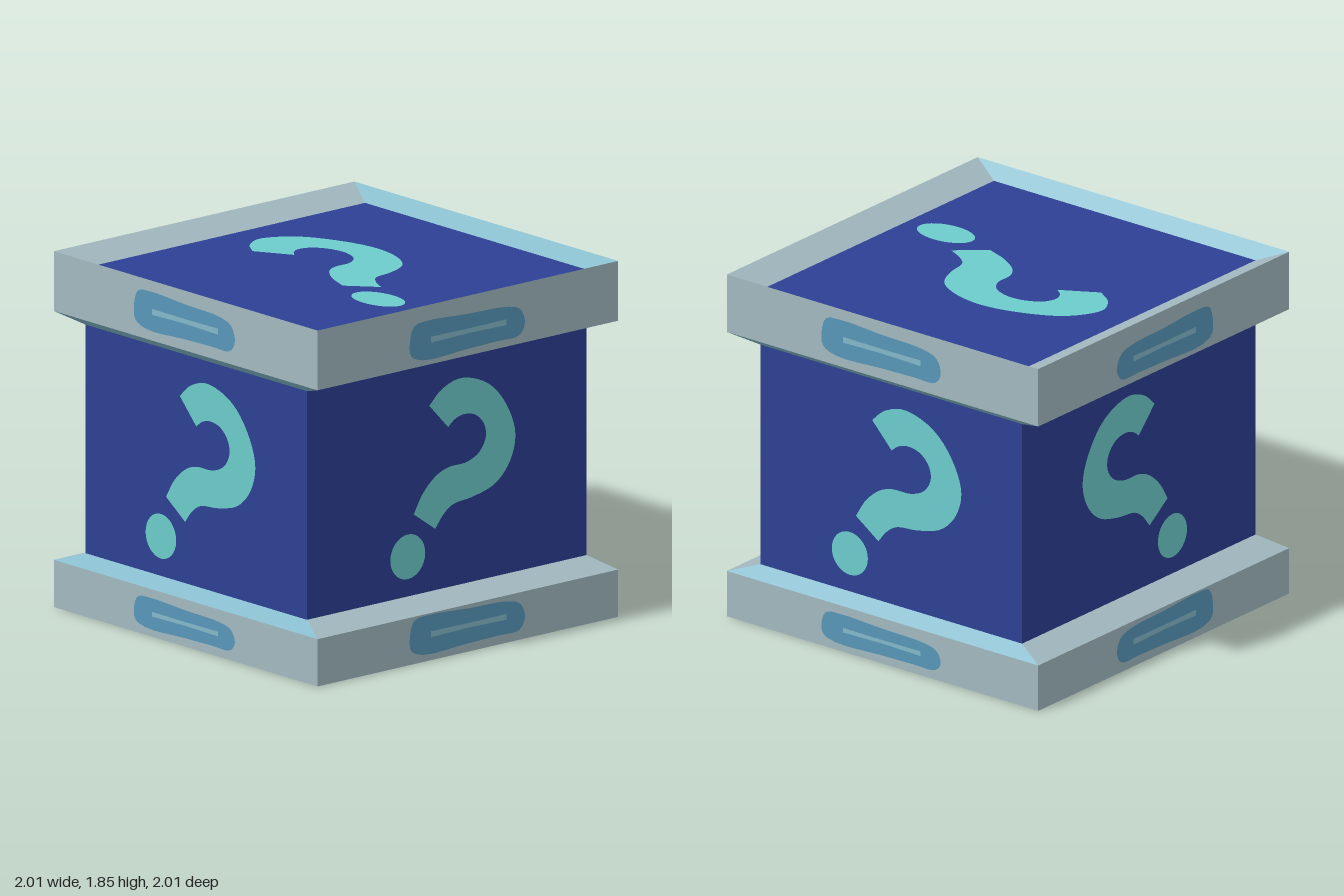
import * as THREE from 'three';

const mat = (name, color) => Object.assign(new THREE.MeshStandardMaterial({ color }), { name });
const vecs = (pts, f) => pts.map(([u, v]) => new THREE.Vector2(...f(u, v)));

// Outline of the hook: outer curve, lower stub, inner curve
const OUTER = [[-0.12, 1.264], [-0.04, 1.333], [0.09, 1.37], [0.277, 1.307], [0.40, 1.168], [0.453, 1.013],
  [0.416, 0.88], [0.32, 0.784], [0.17, 0.741], [0.037, 0.725], [-0.027, 0.683], [-0.08, 0.619]];
const INNER = [[-0.224, 0.72], [-0.16, 0.82], [-0.07, 0.896], [0.01, 0.923], [0.128, 0.928], [0.213, 0.965],
  [0.256, 1.035], [0.245, 1.104], [0.187, 1.163], [0.107, 1.179], [0.048, 1.163], [0.005, 1.131]];
// Slightly uneven rounded badge
const BADGE = [[-0.388, 0.01], [-0.36, 0.085], [-0.27, 0.1], [0, 0.087], [0.27, 0.075], [0.35, 0.045],
  [0.376, -0.03], [0.34, -0.085], [0.2, -0.09], [0, -0.094], [-0.3, -0.1], [-0.38, -0.065]];
const STREAK = [[-0.25, -0.017], [0, -0.012], [0.25, -0.017], [0.25, 0.014], [0, 0.012], [-0.25, 0.014]];

function smooth(pts, closed) {
  const c = new THREE.CatmullRomCurve3(pts.map(p => new THREE.Vector3(p.x, p.y, 0)), closed);
  return c.getPoints(pts.length * 4).map(p => new THREE.Vector2(p.x, p.y));
}

// Rectangular ring lofted through [halfX, y, halfZ] sections; sloped x sides use the second material
function frameGeometry(sections) {
  const corners = [[1, 1], [1, -1], [-1, -1], [-1, 1]];
  const lists = [[], []];
  const at = (s, k) => [s[0] * corners[k % 4][0], s[1], s[2] * corners[k % 4][1]];
  for (let j = 0; j < sections.length - 1; j++) {
    for (let k = 0; k < 4; k++) {
      const a = at(sections[j], k), b = at(sections[j], k + 1);
      const c = at(sections[j + 1], k + 1), d = at(sections[j + 1], k);
      lists[j !== 1 && k % 2 === 0 ? 1 : 0].push(...a, ...b, ...c, ...a, ...c, ...d);
    }
  }
  const g = new THREE.BufferGeometry();
  g.setAttribute('position', new THREE.Float32BufferAttribute([...lists[0], ...lists[1]], 3));
  g.addGroup(0, lists[0].length / 3, 0);
  g.addGroup(lists[0].length / 3, lists[1].length / 3, 1);
  g.computeVertexNormals();
  return g;
}

export function createModel() {
  const model = new THREE.Group();
  model.name = 'mysteryBox';
  const frame = mat('paleGrey', 0xa2b9c0);
  const slope = mat('paleBlue', 0x83b9c9);
  const panel = mat('deepBlue', 0x2c4094);
  const mark = mat('turquoise', 0x6ccccb);
  const badge = mat('midBlue', 0x5897b9);

  const add = (parent, name, geometry, material, z = 0) => {
    const m = new THREE.Mesh(geometry, material);
    m.name = name;
    m.position.z = z;
    parent.add(m);
    return m;
  };

  // Inner box
  const X = 0.93, Z = 0.84, LOW = 0.06, HIGH = 1.78;
  add(model, 'innerBox', new THREE.BoxGeometry(2 * X, HIGH - LOW, 2 * Z), panel).position.y = (LOW + HIGH) / 2;

  // Bevelled frames around the base and the lid
  add(model, 'baseFrame', frameGeometry([[X, LOW, Z], [1, 0, 1], [1, 0.245, 1], [X, 0.3, Z]]), [frame, slope]);
  add(model, 'lidFrame', frameGeometry([[X, 1.485, Z], [1, 1.535, 1], [1, 1.845, 1], [X, HIGH, Z]]), [frame, slope]);

  // Hook and dot painted on a panel, placed by the rule f
  function paintMark(group, z, f) {
    const outline = [...smooth(vecs(OUTER, f), false), ...smooth(vecs(INNER, f), false)];
    add(group, 'hook', new THREE.ShapeGeometry(new THREE.Shape(outline)), mark, z);
    const circle = [];
    for (let i = 0; i < 32; i++) {
      const t = i / 16 * Math.PI;
      circle.push([-0.263 + 0.116 * Math.cos(t), 0.507 + 0.116 * Math.sin(t)]);
    }
    add(group, 'dot', new THREE.ShapeGeometry(new THREE.Shape(vecs(circle, f))), mark, z);
  }

  // Badge with a light streak painted on a band
  function paintBadge(group, y, sign, tall) {
    const f = (u, v) => [sign * u, y + v * tall];
    add(group, 'badge', new THREE.ShapeGeometry(new THREE.Shape(smooth(vecs(BADGE, f), true))), badge, 1.003);
    add(group, 'streak', new THREE.ShapeGeometry(new THREE.Shape(vecs(STREAK, f))), slope, 1.006);
  }

  // Four sides; the back carries a mirrored mark
  const sides = [
    ['frontSide', 0, Z, 1], ['rightSide', Math.PI / 2, X, 1],
    ['backSide', Math.PI, Z, -1], ['leftSide', -Math.PI / 2, X, 1],
  ];
  sides.forEach(([name, angle, dist, sign], i) => {
    const g = new THREE.Group();
    g.name = name;
    g.rotation.y = angle;
    paintMark(g, dist + 0.004, (u, v) => [sign * u, v]);
    const odd = i % 2 === 1;
    paintBadge(g, odd ? 1.688 : 1.665, sign, 1);
    paintBadge(g, odd ? 0.12 : 0.138, sign, odd ? 0.8 : 1);
    model.add(g);
  });

  // Stretched marks on the top and underside
  [['topMark', -1, HIGH], ['undersideMark', 1, LOW]].forEach(([name, dir, y]) => {
    const g = new THREE.Group();
    g.name = name;
    g.rotation.x = dir * Math.PI / 2;
    g.position.y = y;
    paintMark(g, 0.004, (u, v) => [0.88 * u, 1.45 * (v - 0.91)]);
    model.add(g);
  });

  return model;
}
